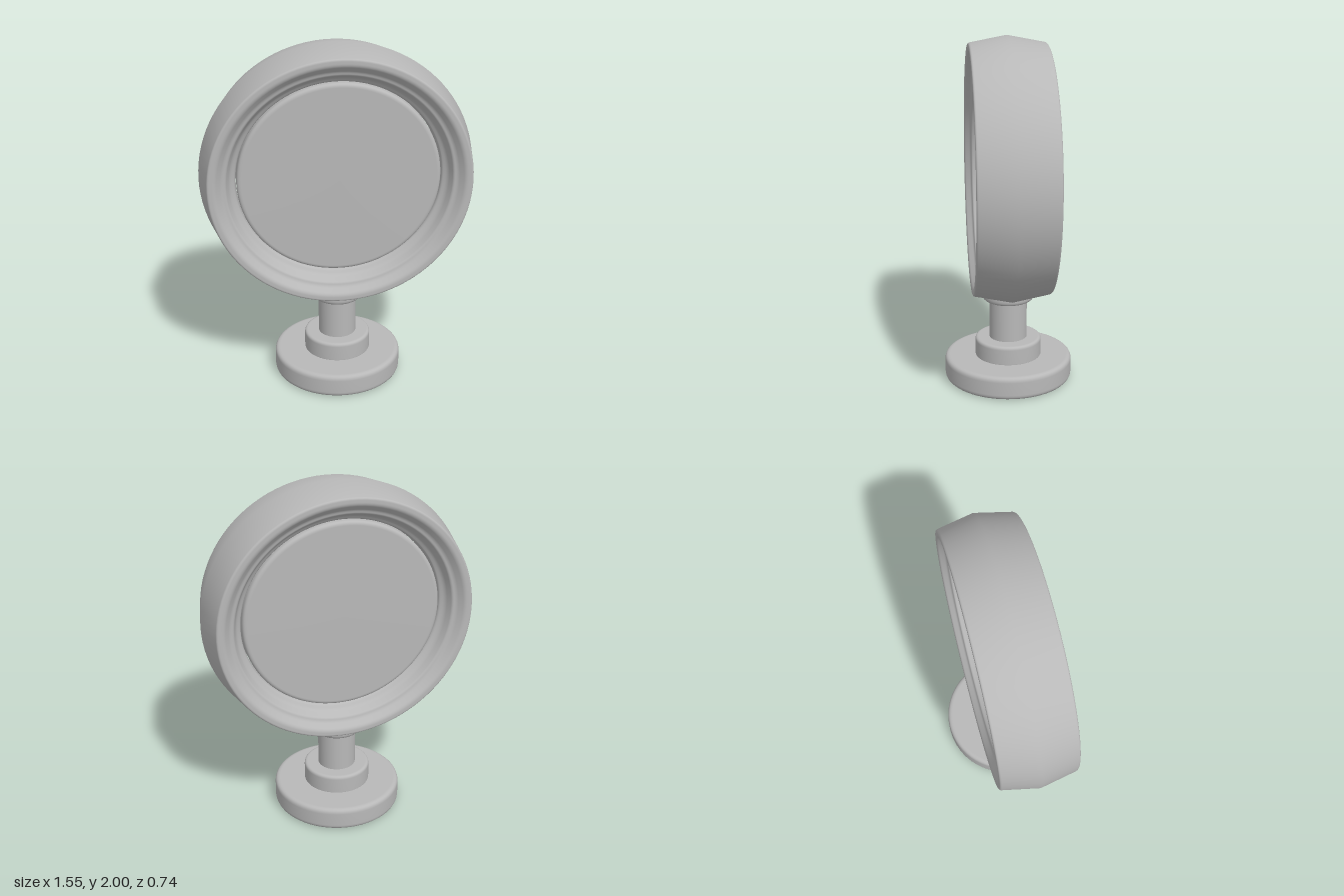
import * as THREE from 'three';

const grey = new THREE.MeshStandardMaterial({ color: 0xb8b8b8 });
grey.name = 'plain grey';

// Revolve a profile of [radius, height, cornerRounding], softening each rounded corner
function turned(name, corners, segments = 64) {
  const pts = corners.map(([r, y]) => new THREE.Vector2(r, y));
  const profile = [];
  corners.forEach(([, , round = 0], i) => {
    const p = pts[i];
    if (!round) { profile.push(p); return; }
    const toward = (q) => p.clone().add(q.clone().sub(p).setLength(round));
    const curve = new THREE.QuadraticBezierCurve(toward(pts[i - 1]), p, toward(pts[i + 1]));
    profile.push(...curve.getPoints(5));
  });
  const mesh = new THREE.Mesh(new THREE.LatheGeometry(profile, segments), grey);
  mesh.name = name;
  return mesh;
}

// Upright solid with rounded top and bottom rims
function puck(name, radius, bottom, top, round) {
  return turned(name, [[0, bottom], [radius, bottom, round], [radius, top, round], [0, top]]);
}

// Mirror half a profile (listed from the middle plane to the front) to the back
function mirrored(half) {
  const back = half.filter(([, y]) => y > 0).map(([r, y, c]) => [r, -y, c]).reverse();
  return [...back, ...half];
}

export function createModel() {
  const model = new THREE.Group();
  model.name = 'roundFrameOnStand';

  // Stand
  model.add(
    puck('base', 0.372, 0, 0.136, 0.03),
    puck('baseStep', 0.193, 0.12, 0.245, 0.02),
    puck('stem', 0.11, 0.23, 0.5, 0.008),
    puck('collar', 0.15, 0.475, 0.57, 0.03),
  );

  // Head: slightly flattened ring with a recessed panel on both sides
  const head = new THREE.Group();
  head.name = 'head';
  const ring = turned('ring', mirrored([
    [0.773, 0],
    [0.73, 0.218, 0.012],
    [0.69, 0.218, 0.015],
    [0.65, 0.18, 0.012],
    [0.628, 0.175, 0.01],
    [0.605, 0.125, 0.015],
    [0.575, 0.105, 0.01],
    [0.57, 0.06],
  ]), 96);
  const panel = turned('panel', mirrored([
    [0.568, 0.05],
    [0.568, 0.122, 0.025],
    [0, 0.125],
  ]), 96);
  head.add(ring, panel);
  head.rotation.x = Math.PI / 2;
  head.scale.z = 0.968;
  head.position.y = 1.252;
  model.add(head);

  return model;
}
